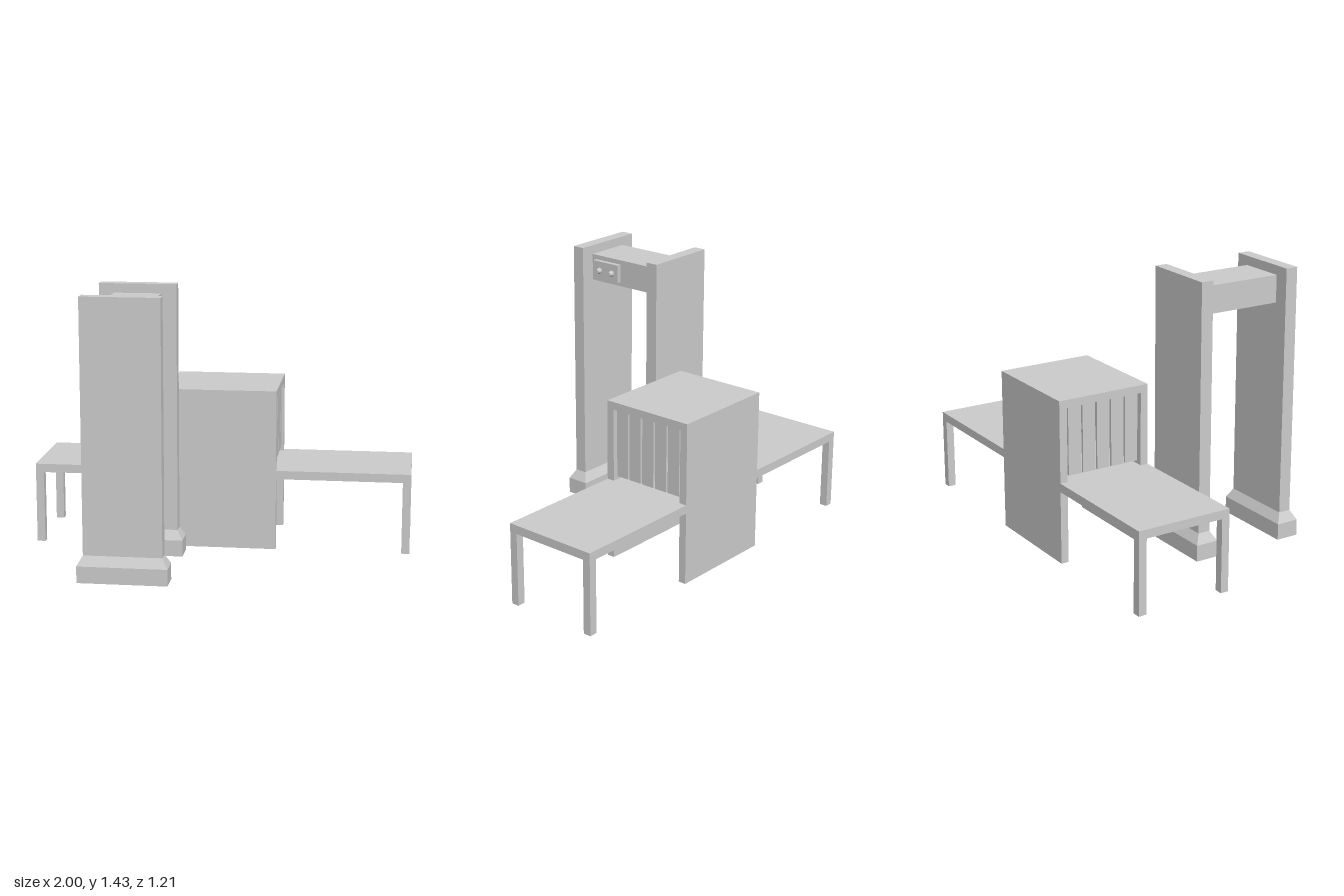
import * as THREE from 'three';

const grey = new THREE.MeshStandardMaterial({ color: 0xcccccc });

function add(parent, name, geometry) {
  const mesh = new THREE.Mesh(geometry, grey);
  mesh.name = name;
  parent.add(mesh);
  return mesh;
}

// Box given by its lower and upper limits on each axis
function block(parent, name, [x0, x1], [y0, y1], [z0, z1]) {
  const mesh = add(parent, name, new THREE.BoxGeometry(x1 - x0, y1 - y0, z1 - z0));
  mesh.position.set((x0 + x1) / 2, (y0 + y1) / 2, (z0 + z1) / 2);
  return mesh;
}

// Box whose upper face is narrowed by a factor in x and z
function taperedBlock(parent, name, xs, ys, zs, fx, fz) {
  const mesh = block(parent, name, xs, ys, zs);
  const p = mesh.geometry.attributes.position;
  for (let i = 0; i < p.count; i++) {
    if (p.getY(i) > 0) {
      p.setX(i, p.getX(i) * fx);
      p.setZ(i, p.getZ(i) * fz);
    }
  }
  mesh.geometry.computeVertexNormals();
  return mesh;
}

function createGate() {
  const gate = new THREE.Group();
  gate.name = 'detectorGate';

  // Two upright panels, each on a wider foot with sloped shoulders
  for (const z of [0.039, 0.547]) {
    block(gate, 'uprightPanel', [-0.608, -0.208], [0.13, 1.43], [z - 0.033, z + 0.033]);
    block(gate, 'footBase', [-0.637, -0.179], [0, 0.086], [z - 0.061, z + 0.061]);
    taperedBlock(gate, 'footShoulder', [-0.637, -0.179], [0.086, 0.136],
      [z - 0.061, z + 0.061], 0.4 / 0.458, 0.066 / 0.122);
  }

  // Crossbar with the control box and its knobs
  block(gate, 'crossbar', [-0.53, -0.285], [1.24, 1.382], [0.07, 0.516]);
  block(gate, 'controlBox', [-0.287, -0.26], [1.262, 1.358], [0.316, 0.488]);
  for (const z of [0.358, 0.443]) {
    const knob = add(gate, 'knob', new THREE.CylinderGeometry(0.011, 0.018, 0.024, 8));
    knob.rotation.z = -Math.PI / 2;
    knob.position.set(-0.249, 1.307, z);
  }
  return gate;
}

function createScanner() {
  const scanner = new THREE.Group();
  scanner.name = 'baggageScanner';
  const zBack = -0.605, zFront = -0.094, wall = 0.041;

  // Hood: an inverted U reaching the floor, open at both ends
  const outline = new THREE.Shape([
    [zBack, 0], [zBack + wall, 0], [zBack + wall, 0.814], [zFront - wall, 0.814],
    [zFront - wall, 0], [zFront, 0], [zFront, 0.855], [zBack, 0.855],
  ].map(([z, y]) => new THREE.Vector2(-z, y)));
  const hood = add(scanner, 'hood',
    new THREE.ExtrudeGeometry(outline, { depth: 0.584, bevelEnabled: false }));
  hood.rotation.y = Math.PI / 2;
  hood.position.x = -0.292;

  // Conveyor bed inside the hood
  block(scanner, 'conveyorBed', [-0.292, 0.292], [0.384, 0.429], [zBack + wall, zFront - wall]);

  // Mirrored tables, legs and curtain strips
  for (const side of [-1, 1]) {
    const span = (a, b) => (side > 0 ? [a, b] : [-b, -a]);
    block(scanner, 'tableTop', span(0.292, 1), [0.384, 0.429], [zBack, zFront]);
    for (const z of [zBack, zFront - 0.042]) {
      block(scanner, 'tableLeg', span(0.957, 1), [0, 0.384], [z, z + 0.042]);
    }
    for (let i = 0; i < 5; i++) {
      const z = -0.184 - i * 0.0823;
      block(scanner, 'curtainStrip', span(0.268, 0.28), [0.455, 0.815], [z - 0.036, z + 0.036]);
    }
  }
  return scanner;
}

export function createModel() {
  const model = new THREE.Group();
  model.name = 'securityCheckpoint';
  model.add(createGate(), createScanner());
  return model;
}
